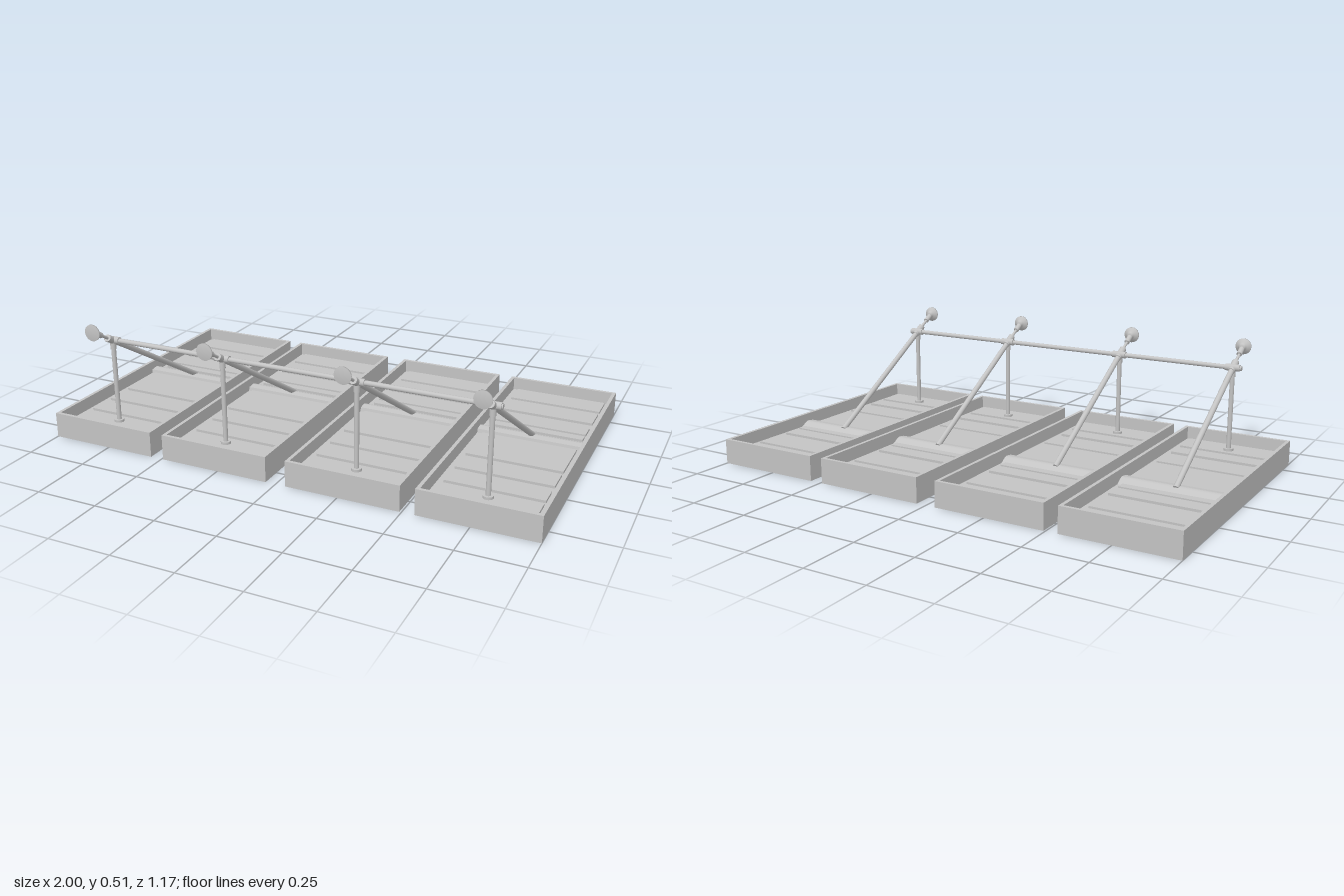
import * as THREE from 'three';

const grey = new THREE.MeshStandardMaterial({ color: 0xc3c3c3 });
grey.name = 'plain grey';

const W = 0.452, D = 1.17, RIM = 0.014;
const INNER = W - 2 * RIM, END = D / 2 - RIM;

function add(parent, geometry, name) {
  const mesh = new THREE.Mesh(geometry, grey);
  mesh.name = name;
  parent.add(mesh);
  return mesh;
}

// Cylinder between two points
function rod(parent, a, b, r, name) {
  const from = new THREE.Vector3(...a), to = new THREE.Vector3(...b);
  const dir = to.clone().sub(from);
  const mesh = add(parent, new THREE.CylinderGeometry(r, r, dir.length(), 16), name);
  mesh.position.copy(from).add(to).multiplyScalar(0.5);
  mesh.quaternion.setFromUnitVectors(new THREE.Vector3(0, 1, 0), dir.normalize());
  return mesh;
}

// Counter-clockwise rectangle on the plan, where shape y is -z
function rect(Type, w, z0, z1) {
  const p = new Type();
  p.moveTo(-w / 2, -z1);
  p.lineTo(w / 2, -z1);
  p.lineTo(w / 2, -z0);
  p.lineTo(-w / 2, -z0);
  p.closePath();
  return p;
}

// Flat plate on the plan, from y0 to y1
function plate(shape, y0, y1) {
  const g = new THREE.ExtrudeGeometry(shape, { depth: y1 - y0, bevelEnabled: false });
  g.rotateX(-Math.PI / 2);
  g.translate(0, y0, 0);
  return g;
}

// Floor sections behind and in front of the ridge, each with its raised panels
const sections = [
  { from: -END, to: -0.14, panels: [[-0.555, -0.45], [-0.43, -0.32], [-0.27, -0.2], [-0.185, -0.148]] },
  { from: -0.062, to: END, panels: [[-0.052, 0.155], [0.175, 0.28], [0.325, 0.4], [0.425, 0.545]] },
];

function createTray() {
  const tray = new THREE.Group();

  // Outer frame, open at top and bottom
  const frame = rect(THREE.Shape, W, -D / 2, D / 2);
  frame.holes.push(rect(THREE.Path, INNER, -END, END));
  add(tray, plate(frame, 0, 0.102), 'trayFrame');

  // Floor sheet with raised panels, hollow from below
  for (const { from, to, panels } of sections) {
    const floor = rect(THREE.Shape, INNER, from, to);
    for (const [a, b] of panels) {
      floor.holes.push(rect(THREE.Path, 0.376, a, b));
      const p = add(tray, new THREE.BoxGeometry(0.376, 0.012, b - a), 'floorPanel');
      p.position.set(0, 0.054, (a + b) / 2);
    }
    add(tray, plate(floor, 0.042, 0.05), 'trayFloor');
  }

  // Rounded ridge across the floor, hollow from below
  const hump = new THREE.Shape();
  hump.moveTo(0.14, 0.05);
  hump.bezierCurveTo(0.125, 0.054, 0.115, 0.07, 0.095, 0.07);
  hump.lineTo(0.066, 0.066);
  hump.lineTo(0.062, 0.05);
  hump.lineTo(0.062, 0.042);
  hump.lineTo(0.072, 0.058);
  hump.lineTo(0.095, 0.062);
  hump.bezierCurveTo(0.11, 0.062, 0.12, 0.046, 0.14, 0.042);
  hump.closePath();
  const ridge = new THREE.ExtrudeGeometry(hump, { depth: INNER, bevelEnabled: false, curveSegments: 8 });
  ridge.rotateY(Math.PI / 2);
  ridge.translate(-INNER / 2, 0, 0);
  add(tray, ridge, 'floorRidge');
  return tray;
}

// Post, sloping brace and lamp, built at x = 0
function createLampStand() {
  const stand = new THREE.Group();
  const onBrace = (z) => [0, 0.405 + 0.6 * (z - 0.46), z];

  // Post with foot and collar
  rod(stand, [0, 0.05, 0.462], [0, 0.07, 0.462], 0.02, 'postFoot');
  rod(stand, [0, 0.05, 0.462], [0, 0.4, 0.462], 0.0095, 'post');
  rod(stand, [0, 0.37, 0.462], [0, 0.4, 0.462], 0.012, 'postCollar');

  // Brace running back to the floor, with its clamp
  rod(stand, onBrace(-0.108), onBrace(0.46), 0.0115, 'brace');
  rod(stand, onBrace(0.445), onBrace(0.495), 0.0145, 'braceClamp');
  rod(stand, onBrace(0.49), onBrace(0.54), 0.006, 'lampArm');

  // Lamp socket and flared head facing forward
  rod(stand, onBrace(0.533), onBrace(0.566), 0.0115, 'lampSocket');
  const profile = [
    [0, 0], [0.011, 0], [0.013, 0.006], [0.02, 0.014], [0.033, 0.021], [0.033, 0.027], [0, 0.027],
  ].map(([r, y]) => new THREE.Vector2(r, y));
  const head = new THREE.LatheGeometry(profile, 20).rotateX(Math.PI / 2);
  add(stand, head, 'lampHead').position.set(0, 0.474, 0.558);

  // Sleeve around the long rail
  rod(stand, [-0.03, 0.408, 0.46], [0.03, 0.408, 0.46], 0.014, 'railSleeve');
  return stand;
}

export function createModel() {
  const model = new THREE.Group();
  model.name = 'traysWithLampRail';

  [-0.774, -0.267, 0.266, 0.774].forEach((x, i) => {
    const tray = createTray();
    tray.name = 'tray' + (i + 1);
    tray.position.x = x;
    model.add(tray);
  });

  [-0.782, -0.282, 0.272, 0.773].forEach((x, i) => {
    const stand = createLampStand();
    stand.name = 'lampStand' + (i + 1);
    stand.position.x = x;
    model.add(stand);
  });

  // Long rail joining the stands
  rod(model, [-0.82, 0.408, 0.46], [0.808, 0.408, 0.46], 0.0095, 'rail');
  return model;
}
